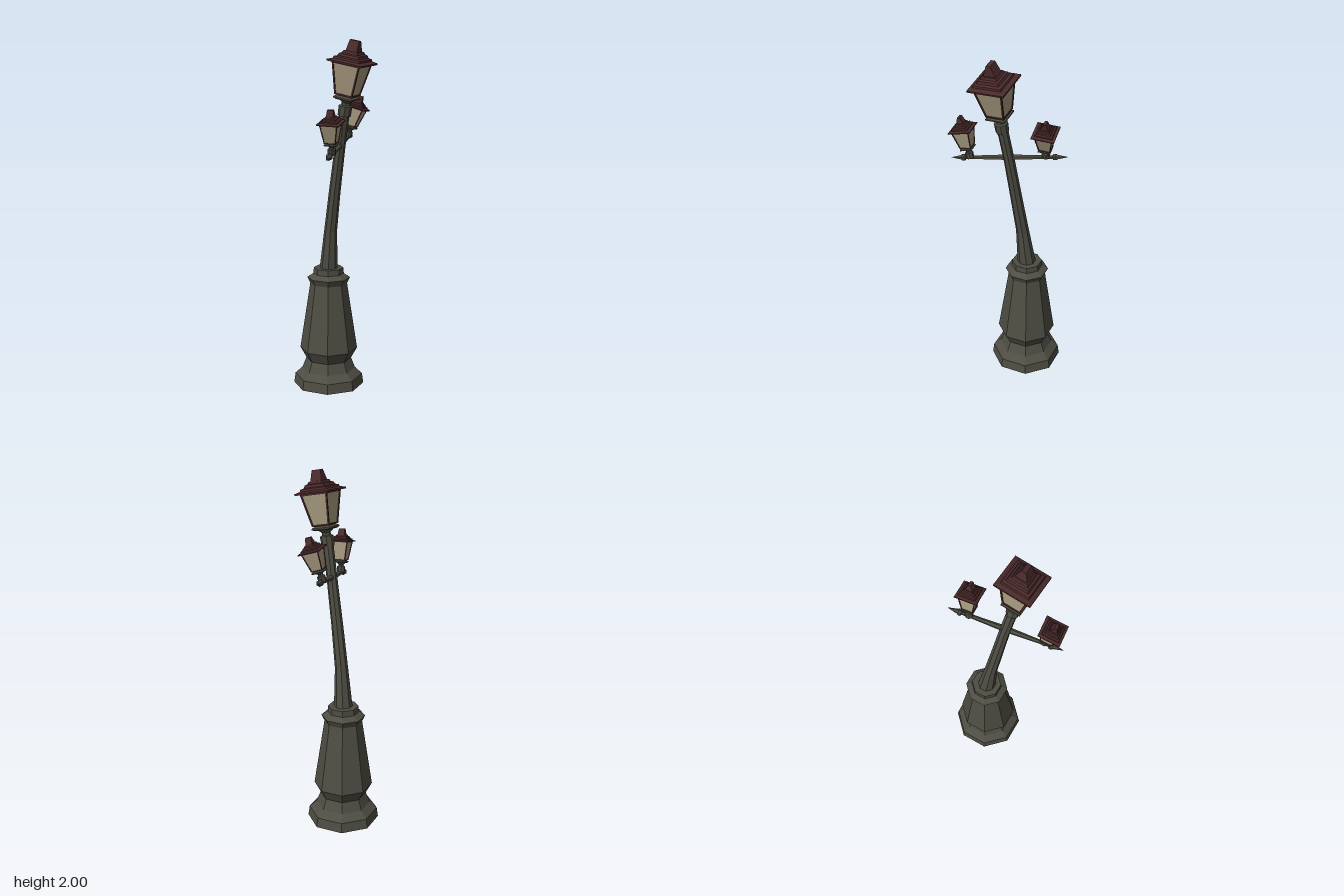
import * as THREE from 'three';

const metal = new THREE.MeshStandardMaterial({ color: 0x4e4d43 });
metal.name = 'dark metal';
const roofRed = new THREE.MeshStandardMaterial({ color: 0x4a2a2b });
roofRed.name = 'dark red';
const glass = new THREE.MeshStandardMaterial({ color: 0xa89b80 });
glass.name = 'pale glass';

const UP = new THREE.Vector3(0, 1, 0);
const V = (x, y, z) => new THREE.Vector3(x, y, z);

// Faceted mesh: every face gets its own normal
function facet(name, geometry, material) {
  const g = geometry.index ? geometry.toNonIndexed() : geometry;
  g.computeVertexNormals();
  const mesh = new THREE.Mesh(g, material);
  mesh.name = name;
  return mesh;
}

// Turned part from [radius, height] pairs
function turned(points, sides, phi = 0) {
  return new THREE.LatheGeometry(points.map(([r, y]) => new THREE.Vector2(r, y)), sides, phi);
}

// Square part from [half width, height] pairs
function square(points) {
  return turned(points.map(([h, y]) => [h * Math.SQRT2, y]), 4, Math.PI / 4);
}

// Thin square bar between two points
function bar(name, a, b, t, material) {
  const mesh = facet(name, new THREE.BoxGeometry(t, a.distanceTo(b), t), material);
  mesh.position.copy(a).add(b).multiplyScalar(0.5);
  mesh.quaternion.setFromUnitVectors(UP, b.clone().sub(a).normalize());
  return mesh;
}

function makeLantern(name) {
  const g = new THREE.Group();
  g.name = name;
  // collar, neck and flared cup
  g.add(facet('lanternCollar', turned([[0, 0], [0.036, 0], [0.038, 0.055], [0.026, 0.06],
    [0.024, 0.074], [0.045, 0.092], [0.048, 0.1], [0, 0.1]], 8, Math.PI / 8), metal));
  g.add(facet('lanternCup', square([[0, 0.09], [0.044, 0.09], [0.056, 0.097], [0.056, 0.105],
    [0.042, 0.113], [0.042, 0.12], [0, 0.12]]), metal));
  // glazed body
  g.add(facet('glassPanes', square([[0.049, 0.118], [0.078, 0.294]]), glass));
  g.add(facet('lowerRail', square([[0, 0.115], [0.053, 0.115], [0.054, 0.124], [0, 0.124]]), roofRed));
  g.add(facet('upperRail', square([[0, 0.284], [0.08, 0.284], [0.082, 0.294], [0, 0.294]]), roofRed));
  for (const sx of [-1, 1]) for (const sz of [-1, 1]) {
    g.add(bar('cornerBar', V(sx * 0.049, 0.117, sz * 0.049), V(sx * 0.078, 0.294, sz * 0.078), 0.009, roofRed));
  }
  // stepped roof
  g.add(facet('lanternRoof', square([[0, 0.292], [0.1035, 0.292], [0.1035, 0.301], [0.08, 0.309],
    [0.077, 0.32], [0.063, 0.325], [0.058, 0.338], [0.047, 0.343], [0.041, 0.355], [0, 0.357]]), roofRed));
  // wedge finial
  const wedge = new THREE.BoxGeometry(0.066, 0.06, 0.07);
  const p = wedge.attributes.position;
  for (let i = 0; i < p.count; i++) {
    if (p.getY(i) > 0) p.setXYZ(i, p.getX(i) * 0.85, p.getY(i), p.getZ(i) * 0.35);
  }
  const finial = facet('roofFinial', wedge, roofRed);
  finial.position.y = 0.383;
  g.add(finial);
  return g;
}

// Places a lantern leaning along an axis and turned about it
function placeLantern(name, position, axis, turn, scale) {
  const lantern = makeLantern(name);
  lantern.position.copy(position);
  lantern.quaternion.setFromUnitVectors(UP, axis.normalize())
    .multiply(new THREE.Quaternion().setFromAxisAngle(UP, turn));
  lantern.scale.setScalar(scale);
  return lantern;
}

export function createModel() {
  const model = new THREE.Group();
  model.name = 'streetLamp';
  const phi = THREE.MathUtils.degToRad(9.3);

  // hollow-footed octagonal pedestal
  const base = facet('pedestal', turned([[0, 0.15], [0.125, 0.15], [0.15, 0.092], [0.19, 0.057],
    [0.2, 0], [0.205, 0], [0.197, 0.057], [0.155, 0.095], [0.132, 0.155], [0.167, 0.218],
    [0.107, 0.61], [0.124, 0.645], [0.088, 0.668], [0.086, 0.702], [0, 0.702]], 8, phi), metal);
  base.position.set(-0.045, 0, -0.093);
  model.add(base);

  // leaning pole: [height, radius, centre x, centre z]
  const rings = [[0.69, 0.053, -0.045, -0.092], [0.92, 0.037, -0.029, -0.068],
    [1.16, 0.033, 0.002, -0.036], [1.4, 0.03, 0.036, -0.005], [1.61, 0.03, 0.068, 0.027]];
  const poleGeo = turned(rings.map(([y, r]) => [r, y]), 8, phi);
  const p = poleGeo.attributes.position;
  for (let i = 0; i < p.count; i++) {
    const [, , cx, cz] = rings[i % rings.length];
    p.setX(i, p.getX(i) + cx);
    p.setZ(i, p.getZ(i) + cz);
  }
  model.add(facet('pole', poleGeo, metal));

  // cross arm with pointed ends
  const half = [[0, 0.325], [0.006, 0.3], [0.013, 0.267], [0.019, 0.26], [0.019, 0.247],
    [0.01, 0.24], [0.011, 0.19], [0.016, 0.03]];
  const profile = [...half.map(([r, y]) => [r, -y]), ...half.slice().reverse()];
  const arm = facet('crossArm', turned(profile, 6), metal);
  arm.position.set(0.0375, 1.4225, -0.002);
  arm.quaternion.setFromUnitVectors(UP, V(0.025, 0.085, -0.64).normalize());
  model.add(arm);

  // lanterns
  model.add(placeLantern('mainLantern', V(0.066, 1.59, 0.026), V(0.17, 1, 0.11), -0.267, 1));
  model.add(placeLantern('frontLantern', V(0.034, 1.396, 0.21), V(0.015, 1, 0.22), -0.13, 0.6));
  model.add(placeLantern('backLantern', V(0.043, 1.45, -0.203), V(0.32, 1, -0.025), -0.13, 0.6));
  return model;
}
